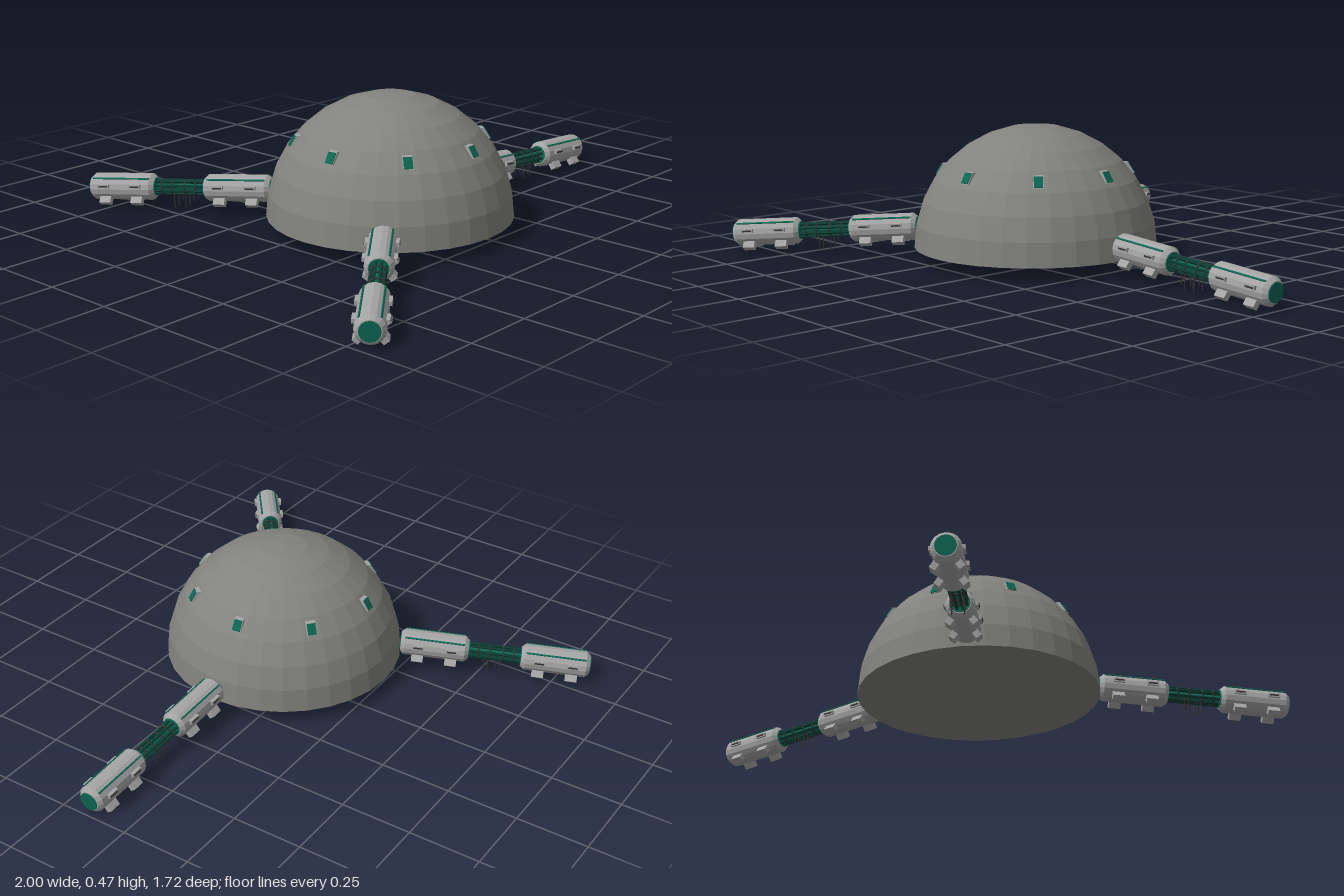
import * as THREE from 'three';

const mat = (name, color, extra = {}) => {
  const m = new THREE.MeshStandardMaterial({ color, flatShading: true, ...extra });
  m.name = name;
  return m;
};
const domeGrey = mat('dome grey', 0x82827e);
const hullGrey = mat('hull grey', 0xa4a4a4);
const teal = mat('teal', 0x0c6652);
const darkTeal = mat('dark teal', 0x0a3d33);
const darkSlot = mat('dark slot', 0x3a3433);

function add(parent, name, geometry, material, x = 0, y = 0, z = 0) {
  const mesh = new THREE.Mesh(geometry, material);
  mesh.name = name;
  mesh.position.set(x, y, z);
  parent.add(mesh);
  return mesh;
}

const CENTRE_X = -0.11, CENTRE_Z = 0.142, RADIUS = 0.425, BASE_Y = 0.06;

// Hemisphere with a closed flat underside
function makeDome() {
  const dome = new THREE.Group();
  dome.name = 'dome';
  add(dome, 'domeShell', new THREE.SphereGeometry(RADIUS, 32, 8, 0, Math.PI * 2, 0, Math.PI / 2), domeGrey);
  add(dome, 'domeFloor', new THREE.CircleGeometry(RADIUS, 32), domeGrey).rotation.x = Math.PI / 2;

  // Window boxes: level top and bottom, outer face leaning with the dome
  const frame = new THREE.Shape([
    [0.29, 0.252], [0.345, 0.252], [0.322, 0.29], [0.267, 0.29],
  ].map(([r, y]) => new THREE.Vector2(r, y)));
  const frameGeo = new THREE.ExtrudeGeometry(frame, { depth: 0.034, bevelEnabled: false });
  frameGeo.translate(0, 0, -0.017);
  const lean = Math.atan2(0.023, 0.038);
  for (let i = 0; i < 8; i++) {
    const w = new THREE.Group();
    w.name = 'window';
    w.rotation.y = 0.1 + i * Math.PI / 4;
    add(w, 'windowFrame', frameGeo, hullGrey);
    add(w, 'windowPane', new THREE.BoxGeometry(0.004, 0.04, 0.03), teal, 0.3345, 0.271, 0)
      .rotation.z = lean;
    dome.add(w);
  }
  dome.position.y = BASE_Y;
  return dome;
}

// Cylindrical capsule lying along x, from x0 to x0 + 0.245
function makeModule(x0) {
  const module = new THREE.Group();
  module.name = 'module';
  module.position.x = x0;
  const L = 0.245, R = 0.048;
  const profile = [[0, 0], [0.036, 0], [R, 0.014], [R, L - 0.014], [0.036, L], [0, L]]
    .map(([r, y]) => new THREE.Vector2(r, y));
  add(module, 'hull', new THREE.LatheGeometry(profile, 16), hullGrey).rotation.z = -Math.PI / 2;
  add(module, 'endCaps', new THREE.CylinderGeometry(0.033, 0.033, L + 0.006, 16), teal, L / 2)
    .rotation.z = -Math.PI / 2;

  for (const side of [-1, 1]) {
    // Long trim stripe high on each flank
    const a = 0.85;
    add(module, 'trimStripe', new THREE.BoxGeometry(L - 0.03, 0.005, 0.006), teal,
      L / 2, Math.sin(a) * R, side * Math.cos(a) * R).rotation.x = side * (Math.PI / 2 - a);
    for (const x of [0.065, 0.185]) {
      // Feet on the lower flanks and slots on the sides
      add(module, 'foot', new THREE.BoxGeometry(0.042, 0.034, 0.022), hullGrey,
        x, -0.04, side * 0.035).rotation.x = -side * 0.65;
      add(module, 'sidePad', new THREE.BoxGeometry(0.042, 0.014, 0.012), hullGrey,
        x, 0.012, side * 0.049);
      add(module, 'slot', new THREE.BoxGeometry(0.032, 0.005, 0.003), darkSlot,
        x, 0.012, side * 0.0555);
    }
  }
  return module;
}

// Bundle of cables between the modules with rings and hanging wires
function makeLink(x0, x1) {
  const link = new THREE.Group();
  link.name = 'cableLink';
  const L = x1 - x0, mid = (x0 + x1) / 2;
  for (let i = 0; i < 8; i++) {
    const a = (i + 0.5) * Math.PI / 4;
    add(link, 'cable', new THREE.CylinderGeometry(0.005, 0.005, L + 0.02, 6), darkTeal,
      mid, Math.sin(a) * 0.024, Math.cos(a) * 0.024).rotation.z = Math.PI / 2;
  }
  add(link, 'coreCable', new THREE.CylinderGeometry(0.012, 0.012, L + 0.02, 8), teal, mid)
    .rotation.z = Math.PI / 2;
  for (const t of [0.18, 0.4, 0.66, 0.86]) {
    add(link, 'clampRing', new THREE.TorusGeometry(0.025, 0.004, 5, 12), darkSlot, x0 + L * t)
      .rotation.y = Math.PI / 2;
  }
  for (const side of [-1, 1]) {
    [0.32, 0.4, 0.54, 0.62].forEach((t, i) => {
      const len = i % 2 ? 0.06 : 0.045;
      add(link, 'hangingWire', new THREE.CylinderGeometry(0.0018, 0.0018, len, 5), darkSlot,
        x0 + L * t, -0.012 - len / 2, side * 0.02);
    });
  }
  return link;
}

// Arm running outward along local x, dipping slightly toward its tip
function makeArm(degrees) {
  const arm = new THREE.Group();
  arm.name = 'arm';
  arm.add(makeModule(0.428), makeLink(0.673, 0.862), makeModule(0.862));
  arm.position.y = 0.14;
  arm.rotation.order = 'YZX';
  arm.rotation.set(0, THREE.MathUtils.degToRad(degrees), -0.0655);
  return arm;
}

export function createModel() {
  const model = new THREE.Group();
  model.name = 'domeStation';
  model.add(makeDome());
  for (const degrees of [0, 116, -142]) model.add(makeArm(degrees));
  model.position.set(CENTRE_X, 0, CENTRE_Z);
  const root = new THREE.Group();
  root.name = 'model';
  root.add(model);
  return root;
}
